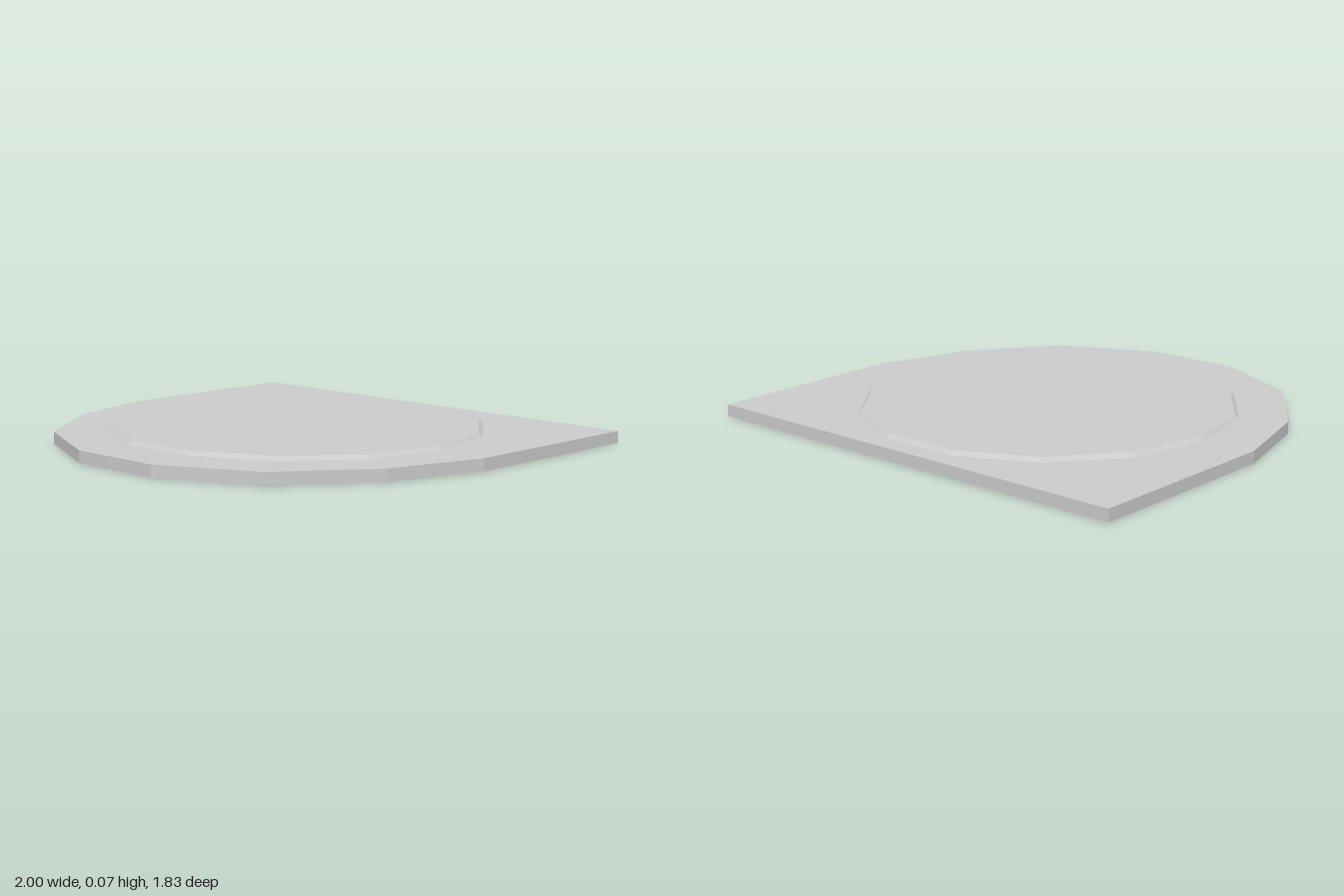
import * as THREE from 'three';

export function createModel() {
  const group = new THREE.Group();
  const material = new THREE.MeshStandardMaterial({ color: 0xcccccc, flatShading: true });
  const plateHeight = 0.05, discHeight = 0.016;

  // Base plate: square at the back, faceted half round at the front
  const half = [[1, -0.918], [1, -0.05], [0.88, 0.36], [0.615, 0.72], [0.21, 0.915]];
  const mirrored = half.map(([x, z]) => [-x, z]).reverse();
  const outline = [...half, ...mirrored].map(([x, z]) => new THREE.Vector2(x, -z));
  const plateGeometry = new THREE.ExtrudeGeometry(new THREE.Shape(outline), {
    depth: plateHeight, bevelEnabled: false,
  });
  plateGeometry.rotateX(-Math.PI / 2);
  const plate = new THREE.Mesh(plateGeometry, material);
  plate.name = 'basePlate';
  group.add(plate);

  // Raised 14-sided disc with a sloping rim, corners on the x axis
  const discGeometry = new THREE.CylinderGeometry(0.765, 0.783, discHeight, 14);
  discGeometry.rotateY(Math.PI / 2);
  const disc = new THREE.Mesh(discGeometry, material);
  disc.name = 'raisedDisc';
  disc.position.set(0, plateHeight + discHeight / 2, -0.067);
  group.add(disc);

  return group;
}
